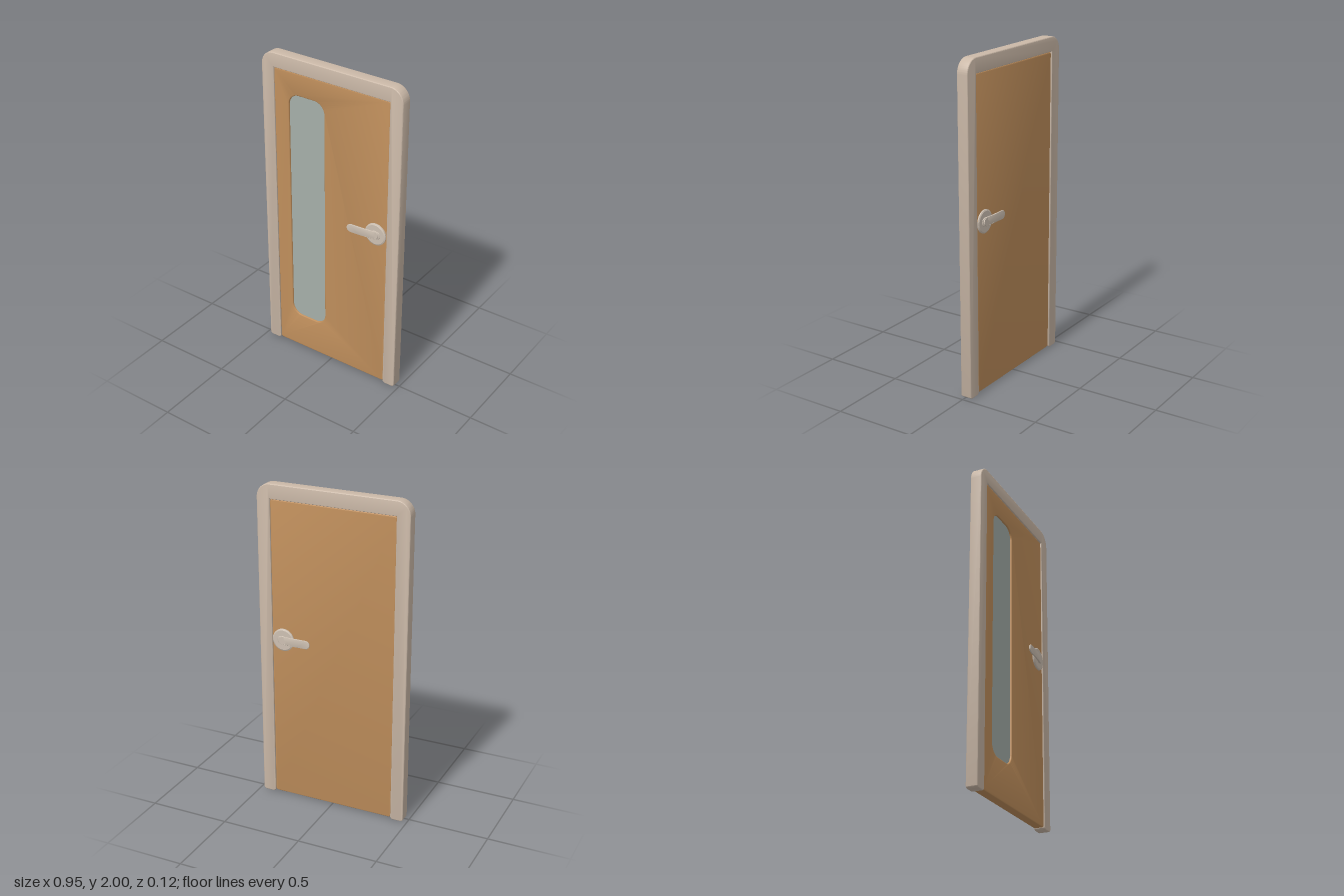
import * as THREE from 'three';
import { toCreasedNormals } from 'three/addons/utils/BufferGeometryUtils.js';

const material = (name, color) => Object.assign(new THREE.MeshStandardMaterial({ color }), { name });

// Rounded rectangle traced counter-clockwise.
function roundedRect(path, x0, y0, x1, y1, r) {
  path.moveTo(x0 + r, y0);
  path.lineTo(x1 - r, y0);
  path.absarc(x1 - r, y0 + r, r, -Math.PI / 2, 0);
  path.lineTo(x1, y1 - r);
  path.absarc(x1 - r, y1 - r, r, 0, Math.PI / 2);
  path.lineTo(x0 + r, y1);
  path.absarc(x0 + r, y1 - r, r, Math.PI / 2, Math.PI);
  path.lineTo(x0, y0 + r);
  path.absarc(x0 + r, y0 + r, r, Math.PI, Math.PI * 1.5);
  return path;
}

// Extrudes an outline between two depths with softened edges.
function slab(shape, z0, z1, bevel) {
  const geo = new THREE.ExtrudeGeometry(shape, {
    depth: z1 - z0 - 2 * bevel, bevelEnabled: bevel > 0, bevelThickness: bevel,
    bevelSize: bevel, bevelOffset: -bevel, bevelSegments: 3, curveSegments: 12,
  });
  geo.translate(0, 0, z0 + bevel);
  return toCreasedNormals(geo, 0.7);
}

export function createModel() {
  const door = new THREE.Group();
  door.name = 'door';
  const frameMat = material('beige frame', 0xcbb9a8);
  const woodMat = material('tan wood', 0xc08f5c);
  const glassMat = material('grey glass', 0xa5afa9);
  const handleMat = material('pale handle', 0xcdc0b2);

  const add = (parent, name, geo, mat) => {
    const mesh = new THREE.Mesh(geo, mat);
    mesh.name = name;
    parent.add(mesh);
    return mesh;
  };

  // Frame: an upside-down U with rounded top corners and feet
  const W = 0.475, I = 0.392, H = 2, T = 1.91, R = 0.085, f = 0.018;
  const u = new THREE.Shape();
  u.moveTo(I + f, 0);
  u.lineTo(W - f, 0);
  u.absarc(W - f, f, f, -Math.PI / 2, 0);
  u.lineTo(W, H - R);
  u.absarc(W - R, H - R, R, 0, Math.PI / 2);
  u.lineTo(-W + R, H);
  u.absarc(-W + R, H - R, R, Math.PI / 2, Math.PI);
  u.lineTo(-W, f);
  u.absarc(-W + f, f, f, Math.PI, Math.PI * 1.5);
  u.lineTo(-I - f, 0);
  u.absarc(-I - f, f, f, -Math.PI / 2, 0);
  u.lineTo(-I, T);
  u.lineTo(I, T);
  u.lineTo(I, f);
  u.absarc(I + f, f, f, Math.PI, Math.PI * 1.5);
  add(door, 'frame', slab(u, -0.043, 0.027, 0.005), frameMat);

  // Door leaf: solid back layer, front layer with the window opening
  const outline = () => roundedRect(new THREE.Shape(), -I, 0.008, I, T, 0.015);
  add(door, 'leafBack', slab(outline(), -0.037, 0.005, 0.006), woodMat);
  const front = outline();
  front.holes.push(roundedRect(new THREE.Path(), -0.292, 0.245, -0.045, 1.772, 0.07));
  add(door, 'leafFront', slab(front, -0.01, 0.021, 0.006), woodMat);

  // Window pane, set into the front opening
  const pane = roundedRect(new THREE.Shape(), -0.295, 0.242, -0.042, 1.775, 0.07);
  add(door, 'windowPane', slab(pane, 0.004, 0.011, 0), glassMat);

  // Lever outline: a capsule sampled along x so that it can be bent
  const x0 = 0.138, x1 = 0.355, half = 0.026, steps = 28;
  const top = [];
  for (let i = 0; i <= steps; i++) {
    const x = (x0 + x1) / 2 - (x1 - x0) / 2 * Math.cos(Math.PI * i / steps);
    const d = Math.max(0, half - Math.min(x - x0, x1 - x));
    top.push(new THREE.Vector2(x, Math.sqrt(Math.max(0, half * half - d * d))));
  }
  const bottom = top.slice(1, -1).reverse().map((p) => new THREE.Vector2(p.x, -p.y));
  const leverShape = new THREE.Shape([...top, ...bottom].reverse());

  // Lever sweeps away from the leaf towards its tip
  function leverGeometry(tip) {
    const geo = new THREE.ExtrudeGeometry(leverShape, {
      depth: 0.005, bevelThickness: 0.002, bevelSize: 0.003, bevelOffset: -0.003, bevelSegments: 2,
    });
    const p = geo.attributes.position;
    for (let i = 0; i < p.count; i++) {
      const t = THREE.MathUtils.clamp((x1 - p.getX(i)) / (x1 - x0), 0, 1);
      const bend = 0.018 + (tip - 0.025) * t - 0.012 * (1 - t) ** 5;
      p.setZ(i, p.getZ(i) + bend);
    }
    return toCreasedNormals(geo, 0.7);
  }

  // Handle: round plate, neck and lever, once on each side
  const disc = (r0, r1, z0, z1) => new THREE.CylinderGeometry(r1, r0, z1 - z0, 40)
    .rotateX(Math.PI / 2).translate(0.318, 0, (z0 + z1) / 2);
  function handle(name, z, tip) {
    const group = new THREE.Group();
    group.name = name;
    group.position.set(0, 1.053, z);
    add(group, 'plate', disc(0.07, 0.07, -0.004, 0.008), handleMat);
    add(group, 'plateRim', disc(0.07, 0.062, 0.008, 0.012), handleMat);
    add(group, 'neck', disc(0.028, 0.024, 0.01, 0.021), handleMat);
    add(group, 'lever', leverGeometry(tip), handleMat);
    door.add(group);
    return group;
  }
  handle('frontHandle', 0.021, 0.037);
  const back = handle('backHandle', -0.036, 0.024);
  back.scale.z = -1;

  return door;
}
